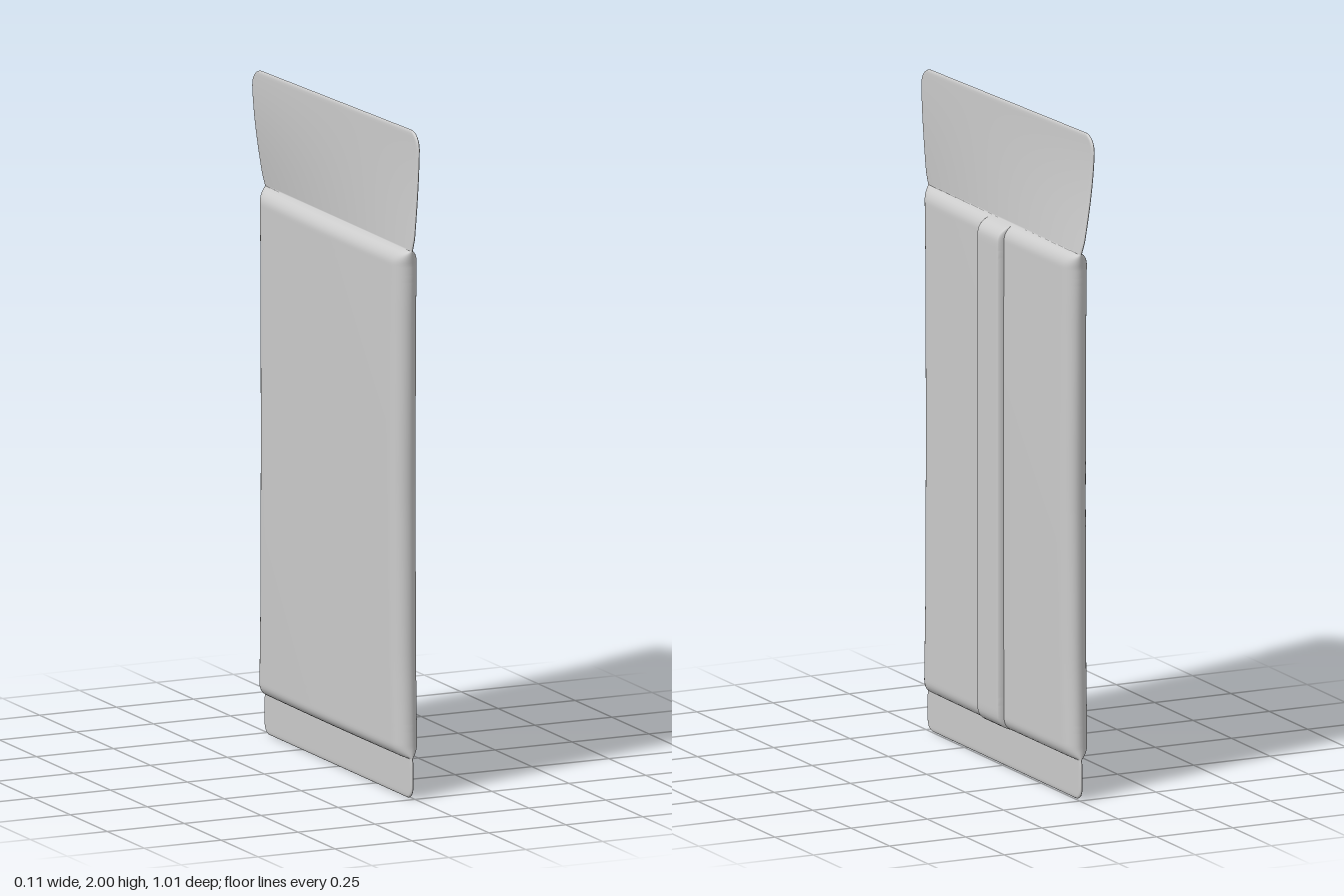
import * as THREE from 'three';

const { lerp, clamp } = THREE.MathUtils;
const SEAL = 0.005, MID = -0.007;

// piecewise linear curve through [position, value] pairs
function curve(points, v) {
  for (let i = 1; i < points.length; i++) {
    const [a, fa] = points[i - 1], [b, fb] = points[i];
    if (v <= b) return lerp(fa, fb, clamp((v - a) / (b - a), 0, 1));
  }
  return points[points.length - 1][1];
}

// quarter-circle rise from 0 to 1
const round = (t) => Math.sqrt(1 - (1 - clamp(t, 0, 1)) ** 2);

// closed skin: one flat loop per height, +x side first, then the -x side
function skin(ys, us, halfWidth, surface) {
  const pos = [], index = [];
  const n = us.length * 2 - 2;
  for (const y of ys) {
    const w = halfWidth(y);
    for (let j = 0; j < n; j++) {
      const front = j < us.length;
      const z = w * us[front ? j : n - j];
      pos.push(surface(y, z, w, front ? 1 : -1), y, z);
    }
  }
  for (let i = 0; i < ys.length - 1; i++) {
    for (let j = 0; j < n; j++) {
      const a = i * n + j, b = i * n + (j + 1) % n;
      index.push(a, a + n, b, b, a + n, b + n);
    }
  }
  const geo = new THREE.BufferGeometry();
  geo.setAttribute('position', new THREE.Float32BufferAttribute(pos, 3));
  geo.setIndex(index);
  geo.computeVertexNormals();
  return geo;
}

// samples of [from, to], packed towards both ends
const packed = (from, to, n) => Array.from({ length: n + 1 },
  (_, i) => lerp(from, to, (1 - Math.cos((Math.PI * i) / n)) / 2));

// outline of the packet: slim waist, wider seals, rounded corners
const WIDTHS = [[0, 0.5], [0.1, 0.5], [0.15, 0.492], [0.4, 0.482], [0.9, 0.476],
  [1.4, 0.481], [1.6, 0.488], [1.64, 0.495], [1.68, 0.504], [2, 0.504]];
function packetWidth(y) {
  return curve(WIDTHS, y) - 0.035 * (1 - round(y / 0.035)) - 0.055 * (1 - round((2 - y) / 0.055));
}

// fullness of the pouch between the two seals
const fill = (y) => round((y - 0.12) / 0.04) * round((1.645 - y) / 0.045);

// the top flap leans and twists away from the middle plane
function centre(y, z) {
  const k = Math.sin(clamp((y - 1.645) / 0.355, 0, 1) * Math.PI / 2);
  return MID + k * (-0.01 + 0.058 * z);
}

function packetSurface(y, z, w, side) {
  const bulge = 1 - 0.15 * (z / 0.5) ** 2 - 0.1 * (y - 0.9) ** 2;
  const depth = (side > 0 ? 0.042 : 0.049) * bulge * fill(y) * round((w - Math.abs(z)) / 0.05);
  const rim = SEAL * round((w - Math.abs(z)) / 0.01) * round(y / 0.01) * round((2 - y) / 0.01);
  return centre(y, z) + side * Math.max(depth, rim);
}

// raised lengthwise seam, following the pouch over both shoulders
function seamSurface(y, z, w, side) {
  const base = MID + Math.max(0.042 * fill(y), SEAL);
  if (side < 0) return base - 0.012;
  const ends = round((y - 0.125) / 0.06) * round((1.642 - y) / 0.06);
  return base - 0.012 + (0.012 + 0.016 * ends) * round((w - Math.abs(z)) / 0.006);
}

export function createModel() {
  const group = new THREE.Group();
  const material = new THREE.MeshStandardMaterial({ color: 0xcccccc, side: THREE.DoubleSide });

  const add = (name, geometry) => {
    const mesh = new THREE.Mesh(geometry, material);
    mesh.name = name;
    group.add(mesh);
  };

  // pouch with bottom seal and top flap in one skin
  const rows = [...packed(0, 0.119, 14), ...packed(0.12, 0.2, 16), ...packed(0.22, 1.55, 30),
    ...packed(1.57, 1.645, 16), ...packed(1.648, 2, 28)];
  add('pouch', skin(rows, packed(-1, 1, 64), packetWidth, packetSurface));

  // seam strip on the +x face
  const seamRows = [...packed(0.122, 0.2, 14), ...packed(0.22, 1.55, 24), ...packed(1.57, 1.644, 14)];
  add('seamStrip', skin(seamRows, packed(-1, 1, 20), () => 0.073, seamSurface));

  return group;
}
